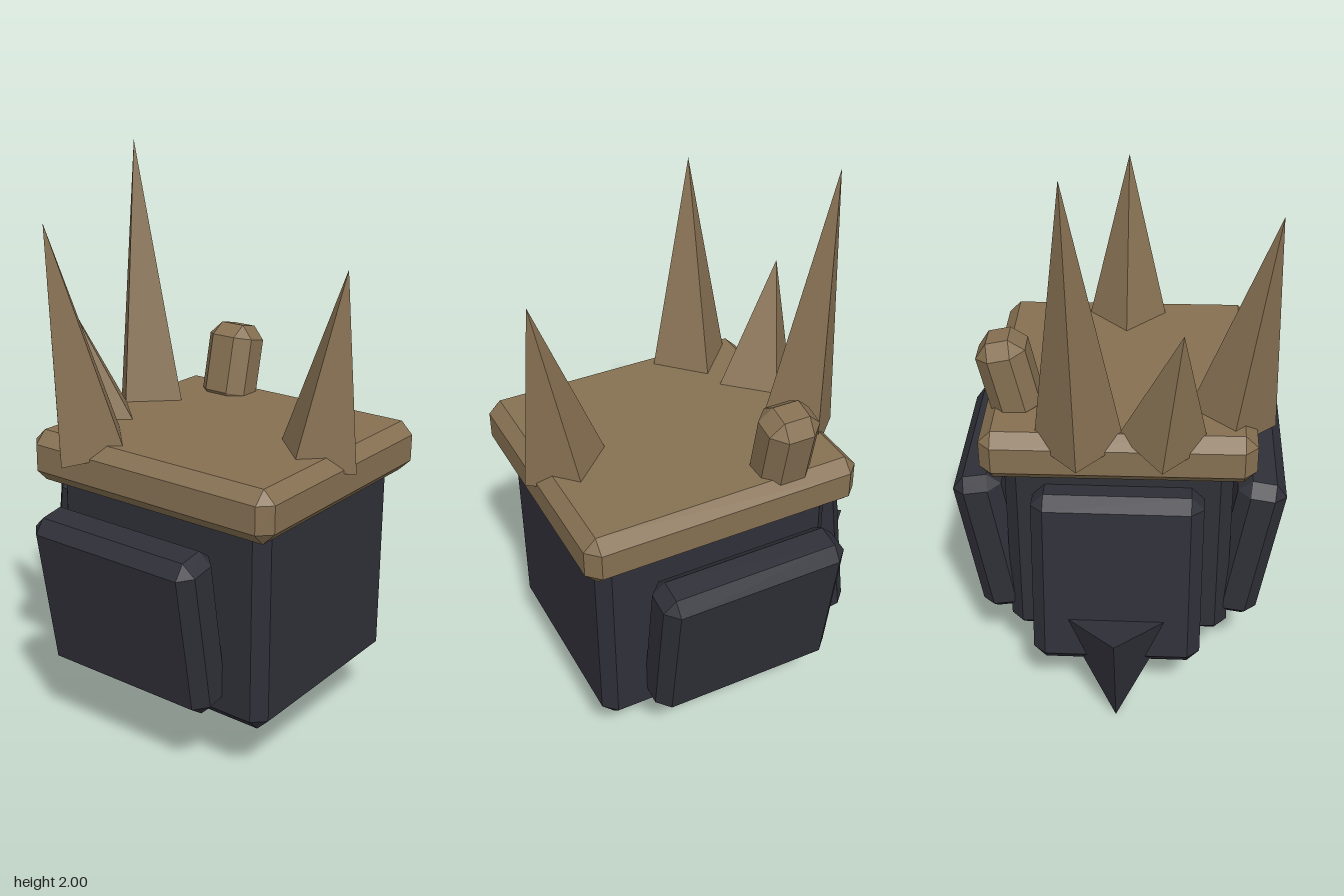
import * as THREE from 'three';
import { ConvexGeometry } from 'three/addons/geometries/ConvexGeometry.js';

// Box with flat bevelled edges and corners
function chamferBox(w, h, d, c) {
  const points = [];
  for (const x of [-1, 1]) for (const y of [-1, 1]) for (const z of [-1, 1]) {
    for (let axis = 0; axis < 3; axis++) {
      const inset = [c, c, c];
      inset[axis] = 0;
      points.push(new THREE.Vector3(
        x * (w / 2 - inset[0]), y * (h / 2 - inset[1]), z * (d / 2 - inset[2])));
    }
  }
  return new ConvexGeometry(points);
}

export function createModel() {
  const group = new THREE.Group();
  const dark = new THREE.MeshStandardMaterial({ color: 0x2f2f38, flatShading: true });
  dark.name = 'charcoal';
  const tan = new THREE.MeshStandardMaterial({ color: 0x867052, flatShading: true });
  tan.name = 'tan';

  function block(name, material, size, chamfer, position, rotation = [0, 0, 0]) {
    const mesh = new THREE.Mesh(chamferBox(...size, chamfer), material);
    mesh.name = name;
    mesh.position.set(...position);
    mesh.rotation.set(...rotation);
    group.add(mesh);
  }

  // Four-sided spike standing on its base centre and pointing at its tip
  function spike(name, material, radius, base, tip) {
    const from = new THREE.Vector3(...base);
    const to = new THREE.Vector3(...tip);
    const axis = to.clone().sub(from);
    const geometry = new THREE.ConeGeometry(radius, axis.length(), 4);
    const mesh = new THREE.Mesh(geometry, material);
    mesh.name = name;
    mesh.position.copy(from).add(to).multiplyScalar(0.5);
    mesh.quaternion.setFromUnitVectors(new THREE.Vector3(0, 1, 0), axis.normalize());
    group.add(mesh);
  }

  // Body and overhanging lid
  block('body', dark, [0.775, 0.785, 0.865], 0.043, [0, 0.6075, 0.1225]);
  block('lid', tan, [0.92, 0.18, 0.99], 0.043, [0, 1.002, 0.119], [0, 0, -0.006]);

  // Splayed panels on the sides and back
  for (const side of [-1, 1]) {
    block(side < 0 ? 'rightPanel' : 'leftPanel', dark, [0.17, 0.58, 0.68], 0.043,
      [side * 0.45, 0.555, 0.06], [0, 0, -side * 0.165]);
  }
  block('backPanel', dark, [0.58, 0.655, 0.17], 0.043, [0, 0.545, -0.375], [0.113, 0, 0]);

  // Tail spike
  spike('tail', dark, 0.2, [0, 0.41, -0.44], [0, 0, -0.505]);

  // Spikes on the lid
  spike('frontSpike', tan, 0.15, [0, 1.053, 0.495], [0, 1.69, 0.585]);
  spike('rightSpike', tan, 0.152, [-0.375, 1.05, -0.158], [-0.5, 1.815, -0.222]);
  spike('tallBackSpike', tan, 0.15, [0.128, 1.04, -0.315], [0.164, 2, -0.413]);
  spike('shortBackSpike', tan, 0.15, [-0.15, 1.06, -0.315], [-0.207, 1.507, -0.418]);

  // Leaning stub on the lid
  block('stub', tan, [0.17, 0.3, 0.187], 0.047, [0.372, 1.184, -0.123], [0, 0, -0.22]);

  return group;
}
